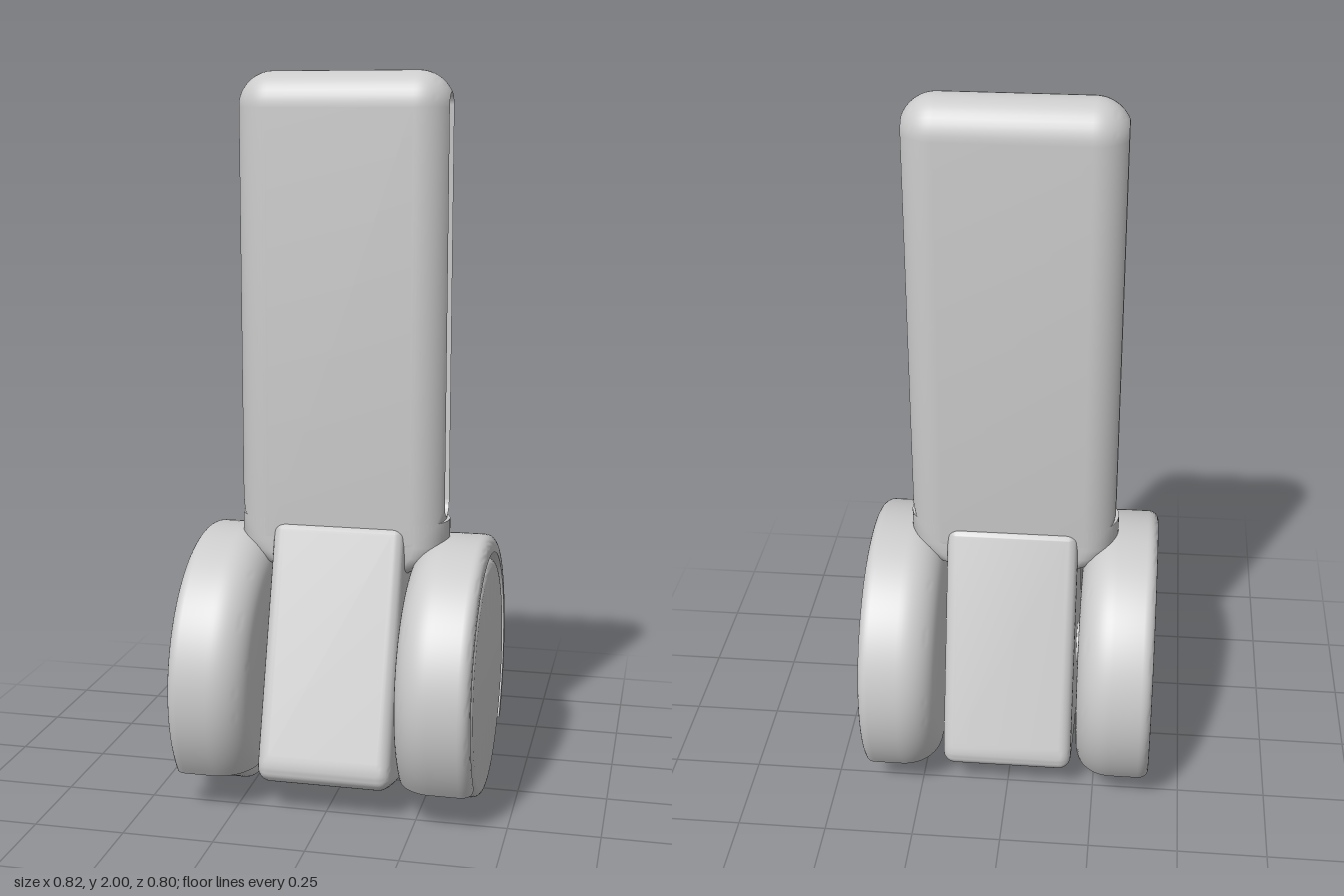
import * as THREE from 'three';
import { toCreasedNormals, mergeGeometries } from 'three/addons/utils/BufferGeometryUtils.js';

const material = new THREE.MeshStandardMaterial({ color: 0xcccccc });
const V = (x, y, z) => new THREE.Vector3(x, y, z);
const HUB_Y = 0.335;

// Skin a list of rows of points; optionally join the last row to the first.
function skin(rows, closed = false) {
  const n = rows[0].length, index = [];
  const count = closed ? rows.length : rows.length - 1;
  for (let i = 0; i < count; i++) {
    const k = (i + 1) % rows.length;
    for (let j = 0; j < n - 1; j++) {
      const a = i * n + j, b = k * n + j;
      index.push(a, a + 1, b, a + 1, b + 1, b);
    }
  }
  const g = new THREE.BufferGeometry().setFromPoints(rows.flat());
  g.setIndex(index);
  return g;
}

function mesh(name, geometry) {
  const m = new THREE.Mesh(geometry, material);
  m.name = name;
  return m;
}

// Points of an arc as [x, r] pairs
function arc(cx, cr, rx, rr, from, to, steps) {
  return Array.from({ length: steps + 1 }, (_, i) => {
    const t = from + (to - from) * i / steps;
    return [cx + rx * Math.cos(t), cr + rr * Math.sin(t)];
  });
}

// Upright slab with rounded edges, swept around its long slot
const LEG_X = 0.198, LEG_R = 0.097, SLOT_R = 0.04;
function legGeometry() {
  const side = arc(LEG_X, 0, LEG_R, LEG_R, Math.asin(SLOT_R / LEG_R), Math.PI / 2, 12);
  const profile = [...side, ...side.map(([x, r]) => [-x, r]).reverse()];
  const rows = profile.map(([x, r]) => {
    const low = 0.833 - 0.1 * (r - SLOT_R) / (LEG_R - SLOT_R);
    const row = [];
    for (let half = 0; half < 2; half++) {
      for (let i = 0; i <= 20; i++) {
        const t = Math.PI * (half + i / 20);
        row.push(V(x, (half ? low : 1.903) + r * Math.sin(t), r * Math.cos(t)));
      }
    }
    row.push(row[0].clone());
    return row;
  });
  return toCreasedNormals(skin(rows, true), 0.6);
}

// Solid foot of the slab: stacked stadium sections, narrowing at the bottom
function footGeometry() {
  const sections = [[0.785, 0, 0], [0.785, 1, 1], [0.72, 1, 1], [0.69, 0.95, 1],
    [0.66, 0.84, 0.97], [0.635, 0.66, 0.85], [0.635, 0, 0]];
  const rows = sections.map(([y, sx, sz]) => {
    const row = [];
    for (let i = 0; i <= 48; i++) {
      const t = (i < 12 || i > 36 ? 1 : -1);
      const a = Math.PI * 2 * i / 48;
      row.push(V(sx * (t * LEG_X + LEG_R * Math.cos(a)), y, sz * LEG_R * Math.sin(a)));
    }
    return row;
  });
  return toCreasedNormals(skin(rows), 0.7);
}

// Tapered centre body with a gently bowed underside
function bodyGeometry() {
  const s = new THREE.Shape();
  s.moveTo(-0.095, 0.77);
  s.quadraticCurveTo(-0.108, 0.77, -0.113, 0.755);
  s.lineTo(-0.302, 0.17);
  s.quadraticCurveTo(-0.33, 0.1, -0.27, 0.085);
  s.quadraticCurveTo(0, -0.01, 0.27, 0.085);
  s.quadraticCurveTo(0.33, 0.1, 0.302, 0.17);
  s.lineTo(0.113, 0.755);
  s.quadraticCurveTo(0.108, 0.77, 0.095, 0.77);
  const g = new THREE.ExtrudeGeometry(s, {
    depth: 0.3, bevelThickness: 0.035, bevelSize: 0.035, bevelOffset: -0.035,
    bevelSegments: 6, curveSegments: 12,
  });
  g.translate(0, 0, -0.15).rotateY(Math.PI / 2);
  return toCreasedNormals(g, 0.6);
}

// Hollow wheel cover, cut off by a level plane below the hub
function coverGeometry() {
  const drop = 0.225;
  const outer = [...arc(0.38, 0.37, 0.03, 0.03, 0, Math.PI / 2, 6),
    ...arc(0.3, 0.3, 0.102, 0.1, Math.PI / 2, Math.PI, 14), [0.198, drop], [0.198, 0]];
  const inner = [...arc(0.38, 0.35, 0.03, 0.01, 0, Math.PI / 2, 6),
    ...arc(0.3, 0.3, 0.065, 0.06, Math.PI / 2, Math.PI, 14), [0.235, drop], [0.235, 0]];
  const cut = (r) => (r > drop ? Math.acos(drop / r) : 0);
  const at = (x, r, a) => V(x, HUB_Y - r * Math.cos(a), r * Math.sin(a));
  const shell = [...outer, ...[...inner].reverse()].map(([x, r]) => {
    const c = cut(r);
    return Array.from({ length: 73 }, (_, i) => at(x, r, c + (2 * Math.PI - 2 * c) * i / 72));
  });
  // Level end faces of the cut
  const ends = [1, -1].map((s) => skin(outer.slice(0, -1).map(([x, r], i) => {
    const [xi, ri] = inner[i];
    const pair = [at(xi, ri, s * cut(ri)), at(x, r, s * cut(r))];
    return s > 0 ? pair : pair.reverse();
  })));
  return toCreasedNormals(mergeGeometries([skin(shell, true), ...ends]), 0.6);
}

// Solid wheel with rounded rims
function wheelGeometry() {
  const w = 0.085, r = 0.335, b = 0.025;
  const points = [[-b, -w], ...arc(r - b, -w + b, b, b, -Math.PI / 2, 0, 6),
    ...arc(r - b, w - b, b, b, 0, Math.PI / 2, 6)].map(([x, y]) => new THREE.Vector2(x, y));
  points[0].x = 0;
  points.push(new THREE.Vector2(0, w));
  const g = new THREE.LatheGeometry(points, 72);
  g.rotateZ(-Math.PI / 2).translate(0.325, HUB_Y, 0);
  return toCreasedNormals(g, 0.6);
}

export function createModel() {
  const model = new THREE.Group();
  model.name = 'casterLeg';
  model.add(mesh('slottedLeg', legGeometry()));
  model.add(mesh('legFoot', footGeometry()));
  model.add(mesh('centreBody', bodyGeometry()));

  // Axle through the body into both wheels
  const axle = new THREE.CylinderGeometry(0.06, 0.06, 0.52, 32);
  axle.rotateZ(Math.PI / 2).translate(0, HUB_Y, 0);
  model.add(mesh('axle', axle));

  // Wheel and cover on each side
  const wheel = wheelGeometry(), cover = coverGeometry();
  ['left', 'right'].forEach((side, i) => {
    const unit = new THREE.Group();
    unit.name = side + 'WheelUnit';
    unit.add(mesh(side + 'Wheel', wheel), mesh(side + 'WheelCover', cover));
    unit.rotation.y = i * Math.PI;
    model.add(unit);
  });
  return model;
}
